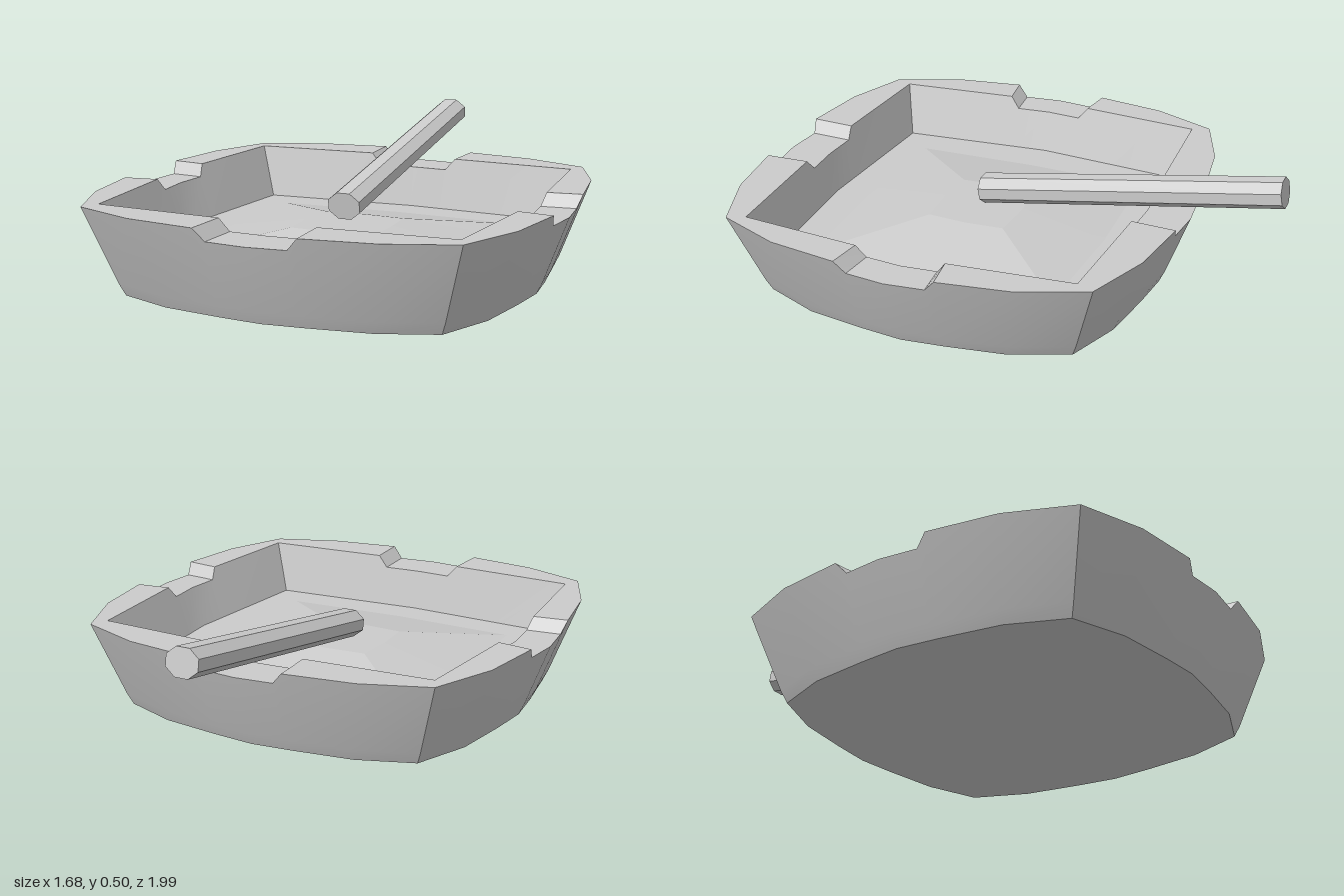
import * as THREE from 'three';
import { toCreasedNormals } from 'three/addons/utils/BufferGeometryUtils.js';

const TRAY_Z = 0.165, RIM_Y = 0.33, NOTCH_Y = 0.285;

// Samples along one side of the dish: position, outer bulge, inside a notch or not
const SIDE = [
  [-1, 0, 0], [-0.65, 0.625, 0], [-0.27, 0.875, 0], [-0.216, 0.9, 1],
  [0, 1, 1], [0.216, 0.9, 1], [0.27, 0.875, 0], [0.65, 0.625, 0],
];
const rimHeights = [0, 1, 2, 3].flatMap(() => SIDE.map(s => (s[2] ? NOTCH_Y : RIM_Y)));

// Four-sided ring with bowed sides, counter-clockwise seen from above
function ring(y, cx, cz, bx, bz, curved) {
  const pts = [];
  for (let k = 0; k < 4; k++) {
    const sign = k < 2 ? 1 : -1;
    for (const [u, b] of SIDE) {
      const f = curved ? b : 1 - Math.abs(u);
      const [x, z] = k % 2 ? [cx + bx * f, -u * cz] : [u * cx, cz + bz * f];
      pts.push(new THREE.Vector3(sign * x, y, sign * z));
    }
  }
  return pts;
}
const outerRing = (y, s) => ring(y, 0.695 * s, 0.695 * s, 0.16 * s, 0.145 * s, true);
const centre = y => rimHeights.map(() => new THREE.Vector3(0, y, 0));

// Slide each point along the wall between two rings to the notched rim height
function notched(low, high) {
  return low.map((p, i) =>
    p.clone().lerp(high[i], (rimHeights[i] - p.y) / (high[i].y - p.y)));
}

// Skin a sequence of rings, skipping collapsed triangles
function loft(rings, crease) {
  const pos = [];
  const tri = (a, b, c) => {
    if (a.distanceTo(b) > 1e-6 && b.distanceTo(c) > 1e-6 && c.distanceTo(a) > 1e-6)
      for (const p of [a, b, c]) pos.push(p.x, p.y, p.z);
  };
  for (let r = 0; r + 1 < rings.length; r++) {
    const A = rings[r], B = rings[r + 1], n = A.length;
    for (let i = 0; i < n; i++) {
      const j = (i + 1) % n;
      tri(A[i], A[j], B[j]);
      tri(A[i], B[j], B[i]);
    }
  }
  const geo = new THREE.BufferGeometry();
  geo.setAttribute('position', new THREE.Float32BufferAttribute(pos, 3));
  return toCreasedNormals(geo, crease);
}

export function createModel() {
  const model = new THREE.Group();
  const grey = new THREE.MeshStandardMaterial({ color: 0xcccccc });
  const flat = new THREE.MeshStandardMaterial({ color: 0xcccccc, flatShading: true });
  const add = (name, geo, mat, parent) => {
    const mesh = new THREE.Mesh(geo, mat);
    mesh.name = name;
    parent.add(mesh);
    return mesh;
  };

  const tray = new THREE.Group();
  tray.name = 'tray';
  tray.position.z = TRAY_Z;
  model.add(tray);

  // Underside, flared outer wall, notched rim and inner wall
  const bevel = outerRing(0.045, 0.875);
  const floorEdge = ring(0.13, 0.605, 0.593, 0.05, 0.035, false);
  const innerTop = ring(RIM_Y, 0.665, 0.63, 0.055, 0.035, false);
  add('dish', loft([
    centre(0), outerRing(0, 0.85), bevel,
    notched(bevel, outerRing(RIM_Y, 1)),
    notched(floorEdge, innerTop), floorEdge,
  ], 0.6), grey, tray);

  // Floor with a low raised centre
  add('floor', loft([
    floorEdge,
    ring(0.13, 0.485, 0.475, 0.015, 0.02, false),
    ring(0.19, 0.16, 0.15, 0.01, 0.01, false),
    centre(0.19),
  ], 0.08), grey, tray);

  // Eight-sided stick leaning over the back notch
  const start = new THREE.Vector3(-0.018, 0.25, 0.162);
  const end = new THREE.Vector3(-0.018, 0.445, -0.99);
  const radius = 1 / Math.cos(Math.PI / 8);
  const stickGeo = new THREE.CylinderGeometry(radius, radius, start.distanceTo(end), 8);
  stickGeo.rotateY(Math.PI / 8).scale(0.0625, 1, 0.051);
  const stick = add('stick', stickGeo, flat, model);
  stick.position.copy(start).lerp(end, 0.5);
  stick.rotation.x = Math.atan2(end.z - start.z, end.y - start.y);

  return model;
}
